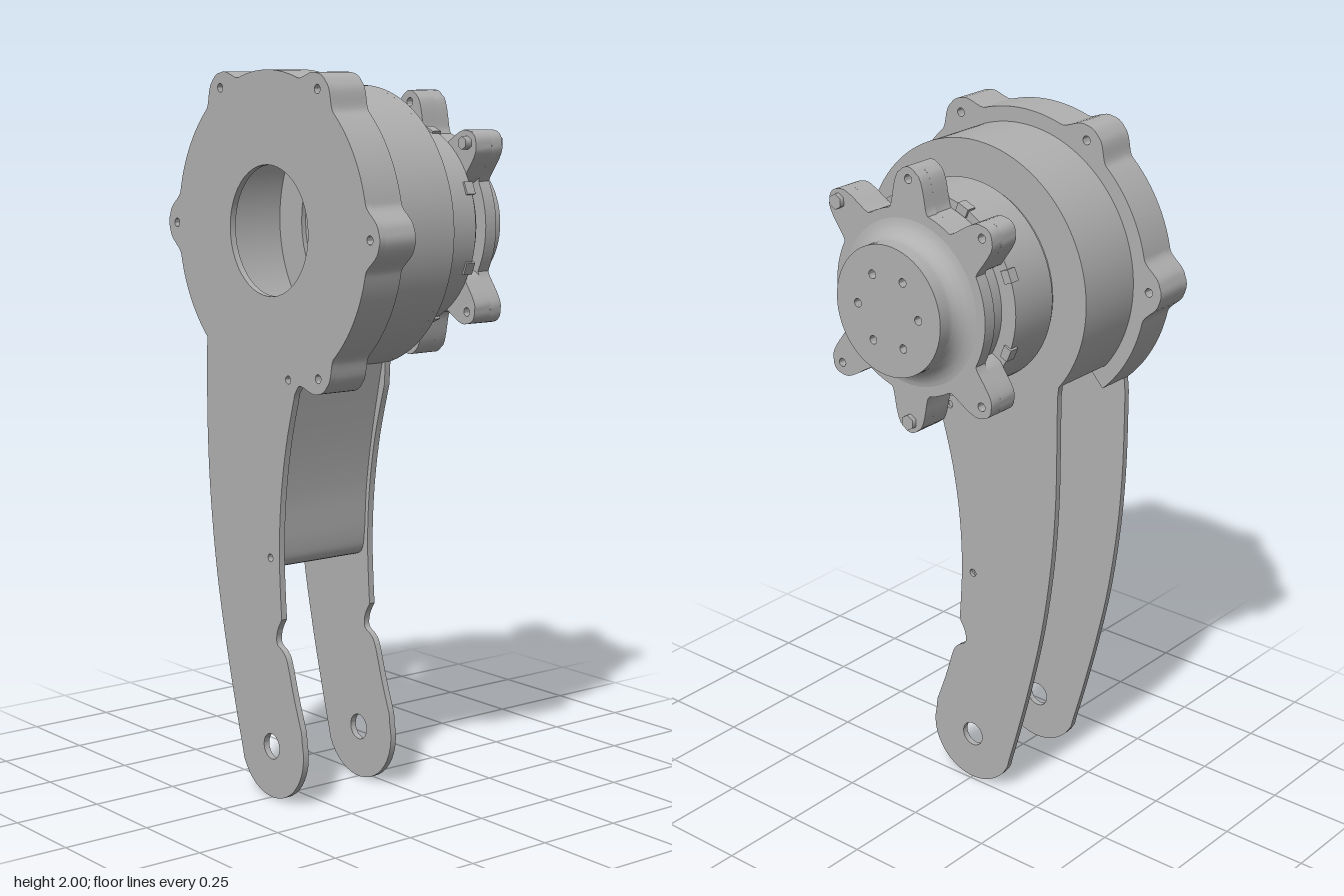
import * as THREE from 'three';
import { toCreasedNormals } from 'three/addons/utils/BufferGeometryUtils.js';

const CY = 1.573; // height of the joint axis
const rad = THREE.MathUtils.degToRad;
const V = (x, y) => new THREE.Vector2(x, y);
const polar = (r, deg) => V(r * Math.cos(rad(deg)), CY + r * Math.sin(rad(deg)));

// points of an arc about the joint axis; radius(deg) may vary
function arc(radius, from, to, steps) {
  const pts = [];
  for (let i = 0; i <= steps; i++) {
    const a = from + (to - from) * i / steps;
    pts.push(polar(typeof radius === 'number' ? radius : radius(a), a));
  }
  return pts;
}

// circle radius with rounded bolt lugs standing out of it
function lugged(base, tip, lugs, inner, outer) {
  return deg => {
    let best = 0;
    for (const l of lugs) {
      const d = Math.abs(((deg - l + 540) % 360 + 360) % 360 - 180);
      const round = 1 - 0.12 * Math.min(1, d / inner) ** 2;
      best = Math.max(best, round * (1 - THREE.MathUtils.smoothstep(d, inner, outer)));
    }
    return base + (tip - base) * best;
  };
}

export function createModel() {
  const grey = new THREE.MeshStandardMaterial({ color: 0xb0b0b0 });
  grey.name = 'machined grey';
  const model = new THREE.Group();
  model.name = 'legLinkWithActuator';

  const add = (name, geo, parent = model) => {
    const m = new THREE.Mesh(geo, grey);
    m.name = name;
    parent.add(m);
    return m;
  };
  // extrude an outline between two depths; holes are [x, y, radius]
  const slab = (name, pts, z0, z1, holes = []) => {
    const shape = new THREE.Shape(pts);
    for (const [x, y, r] of holes) {
      const h = new THREE.Path();
      h.absarc(x, y, r, 0, Math.PI * 2, true);
      shape.holes.push(h);
    }
    const g = new THREE.ExtrudeGeometry(shape, { depth: z1 - z0, bevelEnabled: false, curveSegments: 24 });
    g.translate(0, 0, z0);
    return add(name, toCreasedNormals(g, rad(35)));
  };
  // cylinder along z
  const disc = (name, r, x, y, z0, z1, sides = 48) => {
    const g = new THREE.CylinderGeometry(r, r, z1 - z0, sides);
    g.rotateX(Math.PI / 2).translate(x, y, (z0 + z1) / 2);
    return add(name, g);
  };

  // leg outline from the left side of the disc, round the foot, up the right side
  const leftEdge = new THREE.SplineCurve([
    V(-0.295, 1.22), V(-0.295, 1.0), V(-0.283, 0.8), V(-0.255, 0.59),
    V(-0.215, 0.4), V(-0.172, 0.23), V(-0.137, 0.105),
  ]).getPoints(30);
  const foot = [];
  for (let a = 205; a <= 375; a += 8.5) {
    foot.push(V(0.146 * Math.cos(rad(a)), 0.146 + 0.146 * Math.sin(rad(a))));
  }
  const notch = new THREE.SplineCurve([
    V(0.138, 0.215), V(0.105, 0.305), V(0.075, 0.4), V(0.055, 0.427),
    V(0.028, 0.445), V(0.03, 0.48), V(0.05, 0.515),
  ]).getPoints(24);
  const rightEdge = new THREE.SplineCurve([
    V(0.046, 0.57), V(0.041, 0.7), V(0.05, 0.85), V(0.075, 1.0), V(0.115, 1.145),
  ]).getPoints(20);
  const leg = [...leftEdge, ...foot, ...notch, ...rightEdge];
  const legHoles = [[0, 0.146, 0.036], [0, 0.68, 0.011], [0.085, 1.18, 0.011]];

  // front plate and the lugged flange behind its rim
  const lugs = [0, 60, 120, 180, 300];
  const flangeRadius = lugged(0.426, 0.475, lugs, 3, 12);
  const flangeEdge = arc(flangeRadius, 288, 587, 240);
  const lugHoles = lugs.map(a => { const p = polar(0.435, a); return [p.x, p.y, 0.012]; });
  slab('frontLegPlate', [...flangeEdge, ...leg], 0.317, 0.335,
    [...legHoles, ...lugHoles, [0, CY, 0.176]]);
  slab('housingFlange', [...flangeEdge, ...arc(0.368, 587, 288, 100)], 0.217, 0.317, lugHoles);

  // drum wall, left open towards the leg, and the back plate
  slab('drumWall', [...arc(0.384, 286, 579, 120), ...arc(0.364, 579, 286, 120)], 0.01, 0.22);
  slab('backLegPlate', [...arc(0.384, 288, 579, 120), V(-0.295, 1.3), ...leg], 0.01, 0.028,
    [...legHoles, [0, CY, 0.26]]);

  // curved web joining the two leg plates
  const webOuter = new THREE.SplineCurve([
    V(0.105, 1.205), V(0.06, 1.0), V(0.036, 0.85), V(0.027, 0.72), V(0.015, 0.665), V(-0.015, 0.648),
  ]).getPoints(30);
  const webInner = webOuter.map((p, i) => {
    const a = webOuter[Math.max(0, i - 1)], b = webOuter[Math.min(webOuter.length - 1, i + 1)];
    const t = b.clone().sub(a).normalize();
    return V(p.x + t.y * 0.016, p.y - t.x * 0.016);
  }).reverse();
  slab('legWeb', [...webOuter, ...webInner], 0.02, 0.325);

  // actuator body with a slim parting line near the drum
  disc('actuatorBody', 0.282, 0, CY, -0.155, -0.002, 64);
  disc('actuatorSeat', 0.274, 0, CY, -0.01, 0.014, 64);
  disc('actuatorInnerDisc', 0.235, 0, CY, -0.198, -0.15, 64);

  // output face seen through the front opening
  const ring = new THREE.TorusGeometry(0.168, 0.005, 8, 64).translate(0, CY, 0.015);
  add('outputRing', ring);
  slab('outputPlate', arc(lugged(0.085, 0.115, [54, 126, 198, 270, 342], 12, 24), 0, 357, 119), 0.012, 0.022);
  for (let i = 0; i < 5; i++) {
    const p = polar(0.097, 54 + 72 * i);
    disc('outputScrew', 0.014, p.x, p.y, 0.02, 0.032, 12);
  }
  const plug = new THREE.BoxGeometry(0.16, 0.03, 0.02);
  plug.rotateZ(-0.35).translate(0.05, CY + 0.125, 0.022);
  add('cableConnector', plug);

  // clamps round the actuator rim
  for (let i = 0; i < 8; i++) {
    const a = 22.5 + 45 * i, p = polar(0.275, a);
    const g = new THREE.BoxGeometry(0.025, 0.036, 0.03);
    g.rotateZ(rad(a)).translate(p.x, p.y, -0.147);
    add('rimClamp', g);
  }

  // rear cover: lugged plate, thick upper and lower rims, flared hub
  const coverLugs = [43, 90, 137, 223, 270, 317];
  const coverRadius = lugged(0.258, 0.37, coverLugs, 4.5, 15);
  const coverHoles = coverLugs.map(a => { const p = polar(0.337, a); return [p.x, p.y, 0.012]; });
  slab('coverPlate', arc(coverRadius, 0, 358.5, 239), -0.25, -0.212, coverHoles);
  for (const [from, holes] of [[30, coverHoles.slice(0, 3)], [210, coverHoles.slice(3)]]) {
    slab('coverRim', [...arc(coverRadius, from, from + 120, 100), ...arc(0.236, from + 120, from, 40)],
      -0.213, -0.155, holes);
  }
  const hub = new THREE.LatheGeometry([
    V(0.246, 0.248), V(0.222, 0.251), V(0.204, 0.259), V(0.19, 0.272),
    V(0.182, 0.288), V(0.18, 0.3), V(0.18, 0.335),
  ], 64);
  hub.rotateX(-Math.PI / 2).translate(0, CY, 0);
  add('coverHub', hub);
  const hubHoles = [];
  for (let i = 0; i < 6; i++) {
    const p = polar(0.105, 60 * i);
    hubHoles.push([p.x, p.y, 0.012]);
  }
  slab('hubFace', arc(0.18, 0, 354, 59), -0.335, -0.305, hubHoles);

  // two through bolts in the cover lugs
  for (const a of [43, 270]) {
    const p = polar(0.337, a);
    disc('coverBolt', 0.022, p.x, p.y, -0.264, -0.249, 6);
    disc('coverNut', 0.018, p.x, p.y, -0.157, -0.133, 6);
    disc('coverBoltShank', 0.011, p.x, p.y, -0.25, -0.15, 16);
  }
  return model;
}
